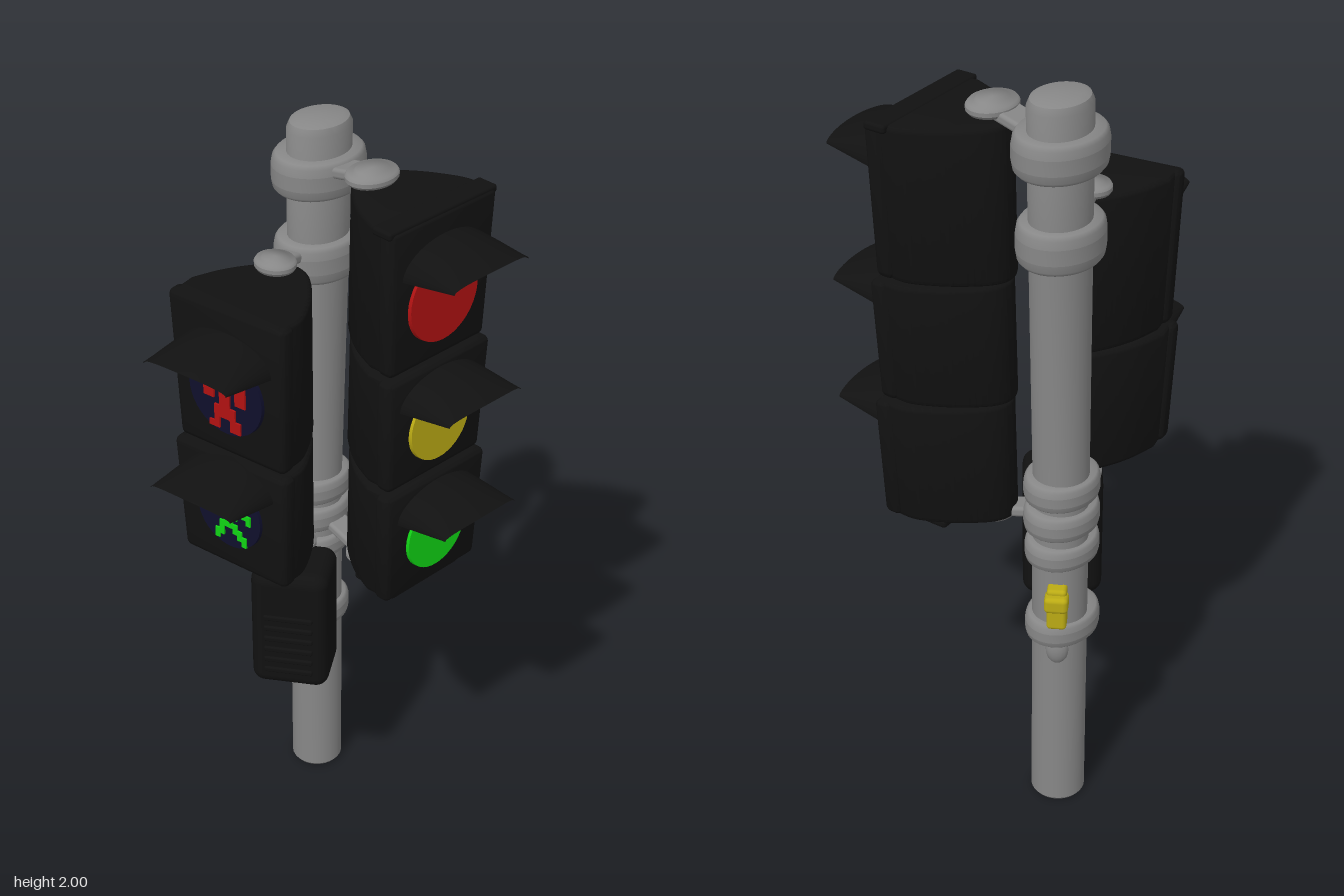
import * as THREE from 'three';
import { toCreasedNormals } from 'three/addons/utils/BufferGeometryUtils.js';
import { RoundedBoxGeometry } from 'three/addons/geometries/RoundedBoxGeometry.js';
import { ParametricGeometry } from 'three/addons/geometries/ParametricGeometry.js';

const mat = (name, color, side = THREE.FrontSide) => {
  const m = new THREE.MeshStandardMaterial({ color, side });
  m.name = name;
  return m;
};

export function createModel() {
  const root = new THREE.Group();
  root.name = 'trafficSignal';
  const black = mat('black', 0x111111, THREE.DoubleSide);
  const gray = mat('gray', 0x878787);
  const red = mat('red', 0xb01212);
  const yellow = mat('yellow', 0xbbab14);
  const green = mat('green', 0x10d414);
  const navy = mat('navy', 0x0f0f2c);

  const add = (parent, name, geo, material, x = 0, y = 0, z = 0) => {
    const m = new THREE.Mesh(geo, material);
    m.name = name;
    m.position.set(x, y, z);
    parent.add(m);
    return m;
  };
  const deform = (geo, rule) => {
    const p = geo.attributes.position, v = new THREE.Vector3();
    for (let i = 0; i < p.count; i++) {
      rule(v.fromBufferAttribute(p, i));
      p.setXYZ(i, v.x, v.y, v.z);
    }
    geo.computeVertexNormals();
    return toCreasedNormals(geo, 0.6);
  };
  const lathe = (pts) => toCreasedNormals(
    new THREE.LatheGeometry(pts.map(([r, y]) => new THREE.Vector2(r, y)), 36), 0.7);

  // Pole, growing slightly oval toward the top
  const PX = -0.238, PZ = -0.183;
  const pole = new THREE.LatheGeometry([[0, 0], [0.064, 0], [0.07, 0.008], [0.07, 1], [0.071, 1.6],
    [0.071, 1.975], [0.064, 1.993], [0.05, 2], [0, 2]].map(([r, y]) => new THREE.Vector2(r, y)), 36);
  add(root, 'pole', deform(pole, (v) => {
    const t = Math.max(0, v.y - 1);
    v.z = v.z * (1 + 0.26 * t) - 0.018 * t;
  }), gray, PX, 0, PZ);

  // Clamp: oval ring on the pole, arm and flat paddle
  function clamp(name, y, h, rx, rz, cz, px, py, pz, prx, prz) {
    const g = new THREE.Group();
    g.name = name;
    root.add(g);
    const b = h / 2;
    const ring = add(g, 'ring', lathe([[0.6, -b], [0.9, -b], [0.97, -b * 0.8], [1, -b * 0.4],
      [1, b * 0.4], [0.97, b * 0.8], [0.9, b], [0.6, b]]), gray, PX, y, cz);
    ring.scale.set(rx, 1, rz);
    const dir = new THREE.Vector2(px - PX, pz - cz).normalize();
    const a = new THREE.Vector3(PX + dir.x * rx * 0.85, y + Math.sign(py - y) * h * 0.25, cz + dir.y * rz * 0.85);
    const end = new THREE.Vector3(px, py, pz);
    const arm = add(g, 'arm', new RoundedBoxGeometry(prz * 1.1, 0.028, a.distanceTo(end), 2, 0.01), gray);
    arm.position.copy(a).lerp(end, 0.5);
    arm.lookAt(end);
    const pad = add(g, 'paddle', lathe([[0, -0.014], [0.9, -0.014], [1, -0.006], [1, 0.004],
      [0.92, 0.011], [0.7, 0.011], [0.62, 0.018], [0, 0.018]]), gray, px, py, pz);
    pad.scale.set(prx, 1, prz);
  }
  clamp('vehicleTopClamp', 1.868, 0.095, 0.105, 0.127, -0.198, -0.042, 1.918, -0.183, 0.058, 0.072);
  clamp('walkTopClamp', 1.642, 0.1, 0.1, 0.118, -0.193, -0.198, 1.687, -0.012, 0.055, 0.05);
  clamp('walkBottomClamp', 0.962, 0.065, 0.09, 0.105, -0.178, -0.185, 0.89, -0.012, 0.055, 0.05);
  clamp('vehicleBottomClamp', 0.875, 0.065, 0.09, 0.105, -0.178, -0.042, 0.82, -0.183, 0.055, 0.06);
  clamp('boxTopClamp', 0.782, 0.06, 0.088, 0.105, -0.175, -0.15, 0.865, -0.045, 0.04, 0.04);
  clamp('boxBottomClamp', 0.55, 0.065, 0.088, 0.108, -0.17, -0.15, 0.506, -0.045, 0.045, 0.045);

  // Housing plan: flat front, rounded back
  const half = [[0.17, 0.08], [0.14, 0.15], [0.1, 0.21], [0.05, 0.262]];
  const plan = new THREE.Shape();
  plan.moveTo(-0.165, 0.01);
  plan.lineTo(0.165, 0.01);
  plan.splineThru([...half, [0, 0.28], ...half.slice().reverse().map(([x, y]) => [-x, y])]
    .map(([x, y]) => new THREE.Vector2(x, y)));
  plan.closePath();

  // Arched visor that droops toward its tip
  const visorGeo = (k) => new ParametricGeometry((u, v, out) => {
    const a = Math.PI * u;
    const side = (0.085 + 0.025 * v) * k;
    const crown = (0.168 - 0.036 * v * v) * k;
    out.set((0.14 - 0.013 * v) * Math.cos(a), side + (crown - side) * Math.sin(a),
      -0.02 + 0.18 * v - 0.012 * v * Math.cos(a) ** 2);
  }, 24, 10);

  // One lamp section: housing, front frame, lens and visor
  function section(head, y0, y1, lensY, r, lensMat) {
    const h = y1 - y0;
    const taper = (v) => {
      const t = (y1 - v.y) / h;
      v.x *= 1 - 0.08 * t;
      v.z -= 0.012 * t;
    };
    const shell = new THREE.ExtrudeGeometry(plan, { depth: h - 0.03, bevelSize: 0.012, bevelOffset: -0.012,
      bevelThickness: 0.013, bevelSegments: 3, curveSegments: 30 });
    shell.rotateX(-Math.PI / 2).translate(0, y0 + 0.015, 0);
    add(head, 'housing', deform(shell, taper), black);
    const frame = new RoundedBoxGeometry(0.358, h - 0.006, 0.05, 3, 0.018);
    frame.translate(0, (y0 + y1) / 2, -0.025);
    add(head, 'frame', deform(frame, taper), black);
    const disc = new THREE.CylinderGeometry(r, r * 1.03, 0.03, 40).rotateX(Math.PI / 2);
    add(head, 'lens', disc, lensMat, 0, lensY, -0.012);
    add(head, 'visor', visorGeo(r / 0.112 * 0.5 + 0.5), black, 0, lensY, 0);
  }

  // Three-lamp vehicle head facing the side
  const vehicle = new THREE.Group();
  vehicle.name = 'vehicleHead';
  vehicle.position.set(0.178, 0, -0.207);
  vehicle.rotation.y = Math.PI / 2;
  root.add(vehicle);
  section(vehicle, 1.492, 1.895, 1.668, 0.115, red);
  section(vehicle, 1.162, 1.492, 1.315, 0.102, yellow);
  section(vehicle, 0.825, 1.162, 0.985, 0.102, green);
  add(vehicle, 'topFlange', new RoundedBoxGeometry(0.365, 0.022, 0.06, 2, 0.008), black, 0, 1.886, -0.036);
  add(vehicle, 'bottomPlate', new RoundedBoxGeometry(0.25, 0.025, 0.14, 2, 0.01), black, 0, 0.822, -0.1);

  // Two-lamp pedestrian head facing the front
  const walk = new THREE.Group();
  walk.name = 'pedestrianHead';
  walk.position.set(-0.136, 0, 0.214);
  walk.rotation.y = 0.14;
  root.add(walk);
  section(walk, 1.252, 1.672, 1.44, 0.113, navy);
  section(walk, 0.91, 1.252, 1.09, 0.1, navy);

  // Pixel figures, one thin plate per run of cells
  function figure(name, rows, cell, cy, material) {
    const g = new THREE.Group();
    g.name = name;
    walk.add(g);
    rows.forEach((row, j) => {
      for (const run of row.matchAll(/#+/g)) {
        const n = run[0].length;
        add(g, 'pixels', new THREE.BoxGeometry(n * cell, cell, 0.006), material,
          (run.index + n / 2 - row.length / 2) * cell, cy + (rows.length / 2 - j - 0.5) * cell, 0.005);
      }
    });
  }
  figure('standingFigure', ['...##...', '...##...', '........', '########', '########', '##.##.##', '##.##.##',
    '...##...', '..####..', '..####..', '..#..##.', '.##..##.'], 0.0162, 1.437, red);
  figure('walkingFigure', ['....##....', '....##....', '..######..', '.########.', '##.####.##', '#..####..#',
    '....##....', '...####...', '...#..##..', '..##...##.', '..#.....#.'], 0.0142, 1.085, green);

  // Push-button box with ribs on its face
  const box = new THREE.Group();
  box.name = 'buttonBox';
  box.position.set(-0.108, 0.683, 0.022);
  box.rotation.y = 0.61;
  root.add(box);
  add(box, 'case', new RoundedBoxGeometry(0.205, 0.362, 0.175, 4, 0.035), black);
  for (let i = 0; i < 6; i++) {
    add(box, 'rib', new RoundedBoxGeometry(0.13, 0.016, 0.012, 2, 0.005), black, 0, 0.045 - i * 0.034, 0.087);
  }

  // Yellow push button on the back of the pole
  const button = new THREE.Group();
  button.name = 'pushButton';
  button.position.set(PX, 0, PZ);
  button.rotation.y = Math.PI + 0.5;
  root.add(button);
  add(button, 'base', new RoundedBoxGeometry(0.05, 0.12, 0.05, 2, 0.01), yellow, 0, 0.645, 0.075);
  add(button, 'cap', new RoundedBoxGeometry(0.06, 0.045, 0.05, 2, 0.012), yellow, 0, 0.67, 0.095);
  const nub = add(button, 'nub', new THREE.SphereGeometry(0.03, 16, 12), gray, 0, 0.5, 0.06);
  nub.scale.set(1, 1.5, 0.7);

  return root;
}
